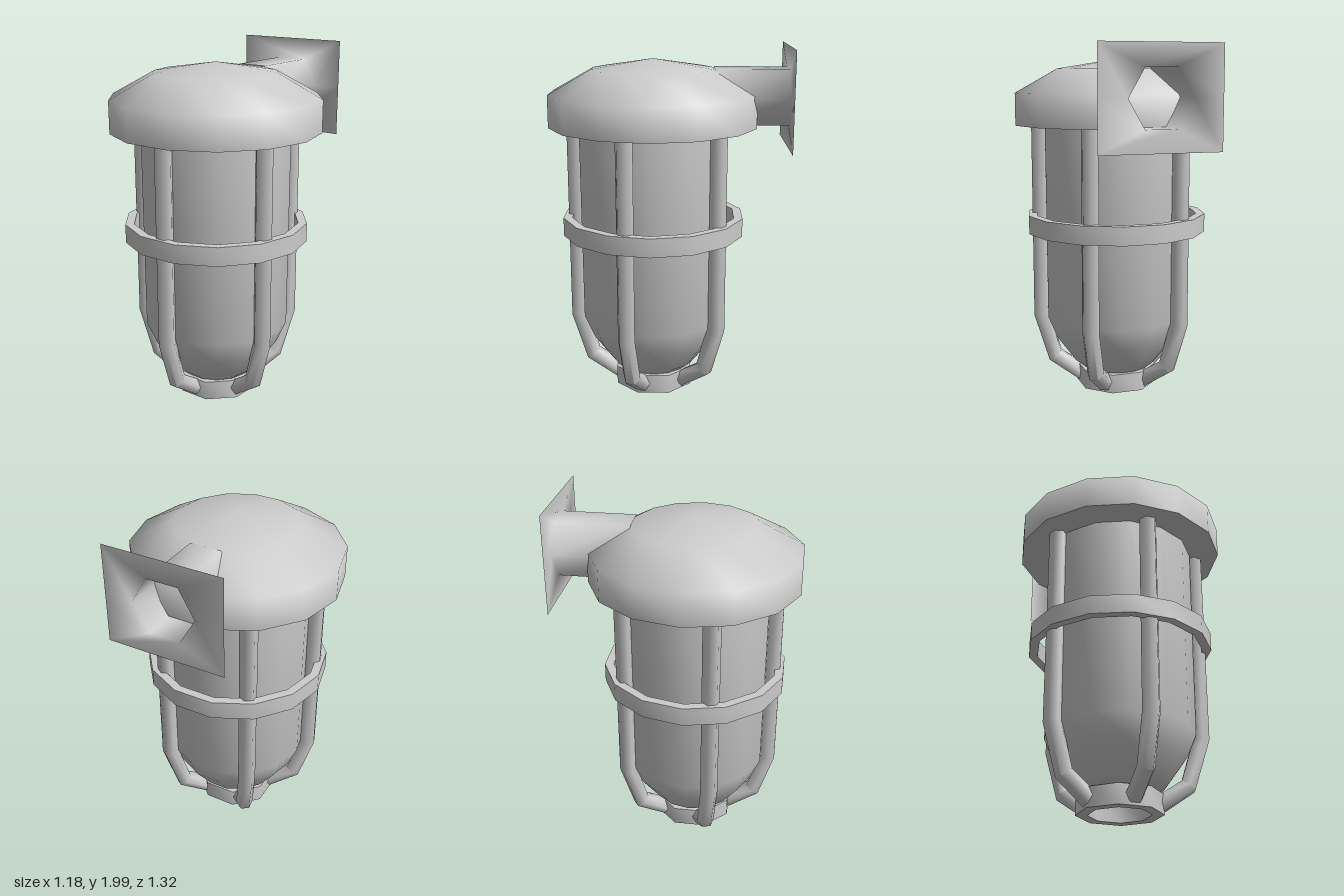
import * as THREE from 'three';
import { toCreasedNormals } from 'three/addons/utils/BufferGeometryUtils.js';

const SIDES = 14;
const AXIS_Z = 0.09; // the lamp hangs in front of its wall plate
const material = new THREE.MeshStandardMaterial({ color: 0xcccccc, side: THREE.DoubleSide });

function part(name, geometry) {
  const mesh = new THREE.Mesh(geometry, material);
  mesh.name = name;
  return mesh;
}

// Turned part from [radius, y] points, with a flat facet facing front
function turned(name, profile, sides, crease) {
  const points = profile.map(([r, y]) => new THREE.Vector2(r, y));
  const geometry = new THREE.LatheGeometry(points, sides);
  geometry.rotateY(Math.PI / sides);
  return part(name, toCreasedNormals(geometry, crease));
}

// Closed rectangular ring
function ring(name, inner, outer, y0, y1, sides) {
  const profile = [[inner, y0], [outer, y0], [outer, y1], [inner, y1], [inner, y0]];
  return turned(name, profile, sides, 0.9);
}

// Six-sided bar bent along [radius, y] points, mitred at each bend
function barGeometry(path, radius) {
  const last = path.length - 1;
  const pts = path.map(([r, y]) => new THREE.Vector2(r, y));
  const geometry = new THREE.CylinderGeometry(radius, radius, 1, 6, last);
  geometry.rotateY(Math.PI / 6);
  const pos = geometry.attributes.position;
  for (let i = 0; i < pos.count; i++) {
    const k = Math.round((pos.getY(i) + 0.5) * last);
    const before = pts[k].clone().sub(pts[Math.max(k - 1, 0)]).normalize();
    const after = pts[Math.min(k + 1, last)].clone().sub(pts[k]).normalize();
    const t = before.add(after).normalize();
    const out = pos.getZ(i);
    pos.setXYZ(i, pos.getX(i), pts[k].y - t.x * out, pts[k].x + t.y * out);
  }
  return toCreasedNormals(geometry, 1.1);
}

// Wall plate flowing into a hollow six-sided arm
function mountGeometry() {
  const w = 0.335, h = 0.275, r = 0.177, cy = 1.725;
  const plate = [[w, 0], [w, h], [-w, h], [-w, 0], [-w, -h], [w, -h]];
  const hex = plate.map((_, i) => [r * Math.cos(i * Math.PI / 3), r * Math.sin(i * Math.PI / 3)]);
  const loops = [[plate, -0.66], [hex, -0.66], [hex, -0.25]];
  const positions = [], index = [];
  loops.forEach(([loop, z], j) => loop.forEach(([x, y], i) => {
    positions.push(x, cy + y, z);
    if (j === loops.length - 1) return;
    const a = j * 6 + i, b = j * 6 + (i + 1) % 6;
    index.push(a, b, a + 6, b, b + 6, a + 6);
  }));
  const geometry = new THREE.BufferGeometry();
  geometry.setAttribute('position', new THREE.Float32BufferAttribute(positions, 3));
  geometry.setIndex(index);
  geometry.computeVertexNormals();
  return geometry;
}

export function createModel() {
  const model = new THREE.Group();
  model.name = 'wallLamp';

  const lamp = new THREE.Group();
  lamp.name = 'lamp';
  lamp.position.z = AXIS_Z;
  model.add(lamp);

  // Domed cap and glass jar
  lamp.add(turned('cap', [[0, 1.56], [0.588, 1.56], [0.588, 1.74], [0.345, 1.875], [0, 1.93]], SIDES, 1.3));
  lamp.add(turned('glass', [[0, 0.12], [0.2, 0.12], [0.25, 0.16], [0.36, 0.31], [0.415, 0.44], [0.42, 1.57]], SIDES, 1.3));

  // Guard: middle band, bottom ring and five bent bars
  lamp.add(ring('guardBand', 0.47, 0.52, 0.94, 1.045, SIDES));
  lamp.add(ring('guardBottomRing', 0.17, 0.235, 0.01, 0.12, 8));

  const bar = barGeometry([[0.2, 0.06], [0.365, 0.17], [0.444, 0.43], [0.444, 1.58]], 0.05);
  for (let i = 0; i < 5; i++) {
    const mesh = part('guardBar' + (i + 1), bar);
    mesh.rotation.y = i * Math.PI * 2 / 5;
    lamp.add(mesh);
  }

  model.add(part('wallMount', mountGeometry()));
  return model;
}
